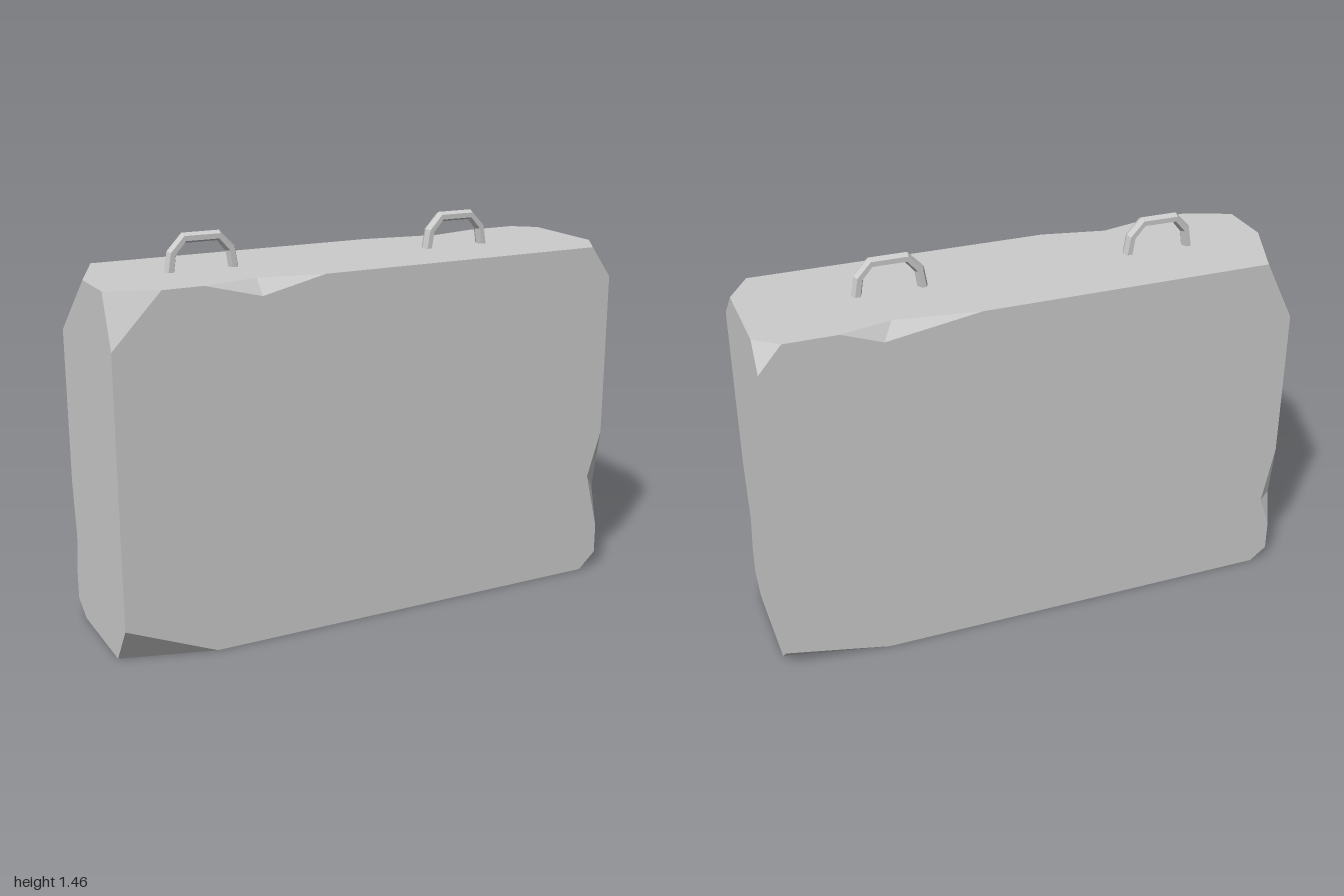
import * as THREE from 'three';

const LO = [-1, 0, -0.28], HI = [1, 1.33, 0.28];

// Chipped corners: key is the x, y, z side; value is the cut length along x, y, z
const CHIPS = {
  '-++': [0.18, 0.19, 0.07], '+++': [0.085, 0.12, 0.14],
  '--+': [0.34, 0.145, 0.10], '+-+': [0.07, 0.065, 0.08],
  '++-': [0.085, 0.10, 0.07], '-+-': [0.115, 0.23, 0.28],
  '+--': [0.39, 0.08, 0.09], '---': [0.065, 0.05, 0.085],
};

// Edge dents: key has 0 on the edge's axis; from/to lie along the edge,
// mids are the two deepest points, keyed by the axis of the face they lie on
const DENTS = {
  '0++': { from: -0.67, to: -0.22, mids: { 2: [-0.46, 1.275, 0.28], 1: [-0.46, 1.33, 0.23] } },
  '0+-': { from: 0.22, to: 0.72, mids: { 2: [0.57, 1.275, -0.28], 1: [0.53, 1.33, -0.235] } },
  '+0+': { from: 0.18, to: 0.58, mids: { 2: [0.945, 0.4, 0.28], 0: [1, 0.34, 0.24] } },
  '-0-': { from: 0.17, to: 0.52, mids: { 2: [-0.955, 0.29, -0.28], 0: [-1, 0.31, -0.255] } },
};

const keyOf = (signs) => signs.map((s) => (s > 0 ? '+' : s < 0 ? '-' : '0')).join('');
const cornerOf = (signs) => signs.map((s, i) => (s > 0 ? HI[i] : LO[i]));

// Corner point slid inward along one axis by its chip length
function chipPoint(signs, axis) {
  const p = cornerOf(signs);
  p[axis] -= signs[axis] * CHIPS[keyOf(signs)][axis];
  return p;
}

function flatGeometry(positions) {
  const geo = new THREE.BufferGeometry();
  geo.setAttribute('position', new THREE.Float32BufferAttribute(positions, 3));
  geo.computeVertexNormals();
  return geo;
}

function bodyGeometry() {
  const out = [];
  const centre = new THREE.Vector3(0, 0.665, 0);
  // Adds a triangle turned to face away from the block's centre
  const addOutward = (a, b, c) => {
    const [A, B, C] = [a, b, c].map((p) => new THREE.Vector3(...p));
    const n = B.clone().sub(A).cross(C.clone().sub(A));
    out.push(...a, ...(n.dot(A.sub(centre)) > 0 ? [...b, ...c] : [...c, ...b]));
  };

  // Six large faces, outlined around their chips and dents
  for (let a = 0; a < 3; a++) {
    const u = (a + 1) % 3, v = (a + 2) % 3;
    for (const side of [-1, 1]) {
      const outline = [];
      [[-1, -1], [1, -1], [1, 1], [-1, 1]].forEach(([su, sv], i) => {
        const signs = [];
        signs[a] = side; signs[u] = su; signs[v] = sv;
        const along = i % 2 ? v : u, before = i % 2 ? u : v;
        outline.push(chipPoint(signs, before), chipPoint(signs, along));
        const edge = signs.slice();
        edge[along] = 0;
        const dent = DENTS[keyOf(edge)];
        if (!dent) return;
        const ends = [dent.from, dent.to].map((t) => {
          const p = cornerOf(signs);
          p[along] = t;
          return p;
        });
        if (signs[along] > 0) ends.reverse();
        outline.push(ends[0], dent.mids[a], ends[1]);
      });
      const flat = outline.map((p) => new THREE.Vector2(p[u], p[v]));
      for (const t of THREE.ShapeUtils.triangulateShape(flat, [])) {
        addOutward(...t.map((i) => outline[i]));
      }
    }
  }

  // Chip facets
  for (const x of [-1, 1]) for (const y of [-1, 1]) for (const z of [-1, 1]) {
    addOutward(...[0, 1, 2].map((axis) => chipPoint([x, y, z], axis)));
  }

  // Dent facets, folded along the line joining the two deepest points
  for (const [key, dent] of Object.entries(DENTS)) {
    const axis = key.indexOf('0');
    const base = cornerOf([...key].map((c) => (c === '+' ? 1 : -1)));
    for (const t of [dent.from, dent.to]) {
      const end = base.slice();
      end[axis] = t;
      addOutward(end, ...Object.values(dent.mids));
    }
  }
  return flatGeometry(out);
}

// Angular arch swept with a six-sided section
function handleGeometry() {
  const half = [[0.122, -0.01], [0.11, 0.065], [0.065, 0.115]];
  const path = [...half.map(([x, y]) => [-x, y]), ...half.slice().reverse()]
    .map(([x, y]) => new THREE.Vector2(x, y));
  const rings = path.map((p, i) => {
    const dir = path[Math.min(i + 1, 5)].clone().sub(path[Math.max(i - 1, 0)]).normalize();
    const normal = new THREE.Vector2(-dir.y, dir.x);
    return Array.from({ length: 6 }, (_, k) => {
      const angle = (k * Math.PI) / 3;
      const r = 0.019 * Math.cos(angle);
      return [p.x + normal.x * r, p.y + normal.y * r, 0.025 * Math.sin(angle)];
    });
  });
  const out = [];
  for (let i = 0; i < 5; i++) {
    for (let k = 0; k < 6; k++) {
      const n = (k + 1) % 6;
      const a = rings[i][k], b = rings[i + 1][k], c = rings[i + 1][n], d = rings[i][n];
      out.push(...a, ...c, ...b, ...a, ...d, ...c);
    }
  }
  return flatGeometry(out);
}

export function createModel() {
  const group = new THREE.Group();
  const material = new THREE.MeshStandardMaterial({ color: 0xcccccc, flatShading: true });
  const handleMaterial = material.clone();
  handleMaterial.side = THREE.DoubleSide;

  const body = new THREE.Mesh(bodyGeometry(), material);
  body.name = 'chippedBlock';
  group.add(body);

  // Two lifting handles on the top face
  const handle = handleGeometry();
  [['rightHandle', -0.57], ['leftHandle', 0.467]].forEach(([name, x]) => {
    const mesh = new THREE.Mesh(handle, handleMaterial);
    mesh.name = name;
    mesh.position.set(x, HI[1], 0);
    group.add(mesh);
  });
  return group;
}
